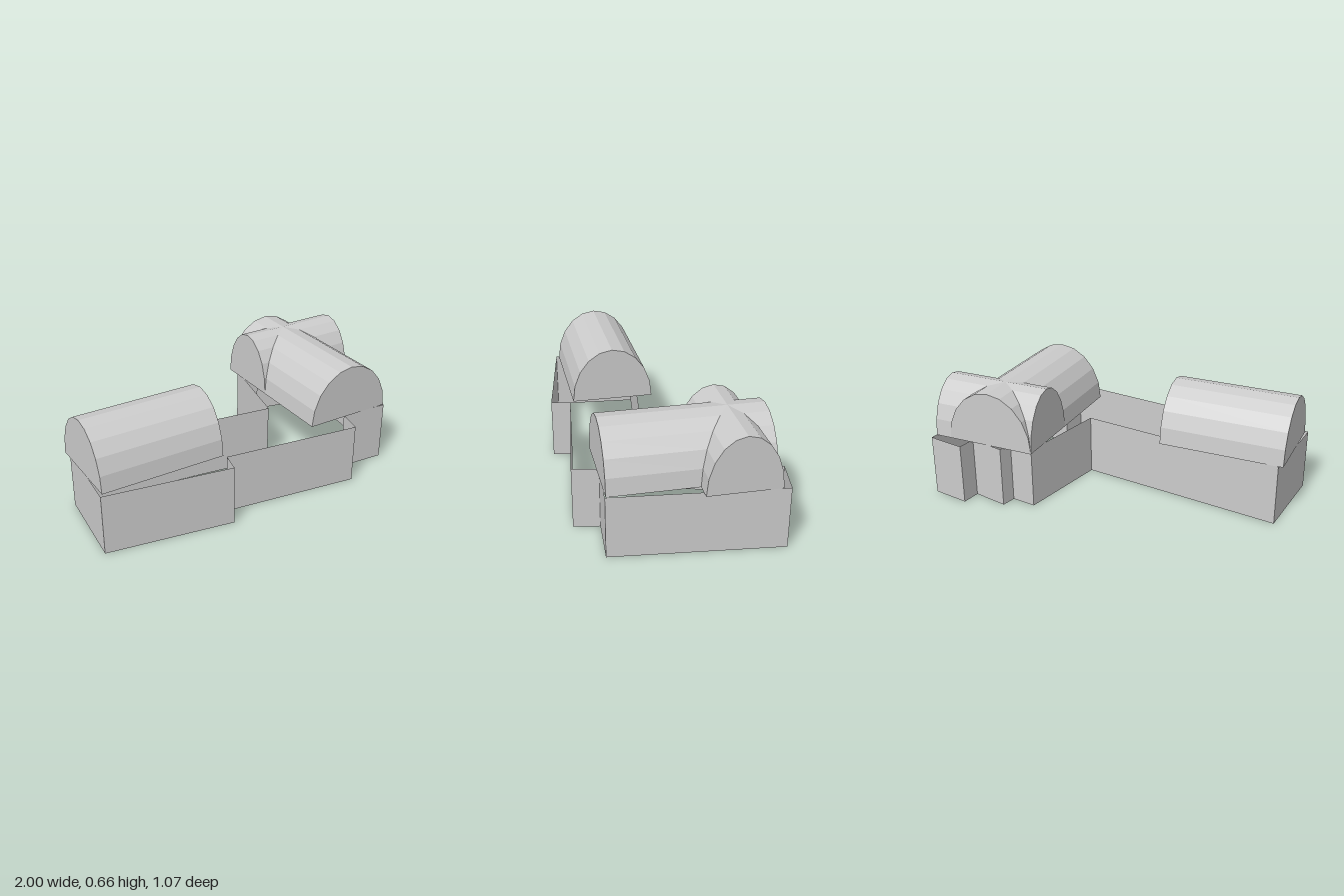
import * as THREE from 'three';

const WALL_H = 0.35, RISE = 0.31, SEGS = 10, ROOF_TURN = -0.077;

const material = new THREE.MeshStandardMaterial({
  color: 0xcccccc, flatShading: true, side: THREE.DoubleSide,
});

function meshFromTriangles(name, points) {
  const geo = new THREE.BufferGeometry().setFromPoints(points);
  geo.computeVertexNormals();
  const mesh = new THREE.Mesh(geo, material);
  mesh.name = name;
  return mesh;
}

const quad = (a, b, c, d) => [a, b, c, a, c, d];

// Open ring of outer walls, walked round the footprint as [x, z]
function makeWalls() {
  const plan = [
    [-1, 0.31], [-0.3, 0.48], [-0.27, 0.37], [0.51, 0.535], [0.55, 0.395], [0.83, 0.435],
    [1, -0.48], [0.79, -0.533], [0.765, -0.43], [0.565, -0.49], [0.54, -0.41], [0.4, -0.44],
    [0.25, 0.07], [-0.92, -0.18],
  ];
  const tris = plan.flatMap(([x0, z0], i) => {
    const [x1, z1] = plan[(i + 1) % plan.length];
    return quad(
      new THREE.Vector3(x0, 0, z0), new THREE.Vector3(x1, 0, z1),
      new THREE.Vector3(x1, WALL_H, z1), new THREE.Vector3(x0, WALL_H, z0));
  });
  return meshFromTriangles('walls', tris);
}

// Half-barrel along local z from start(|cos t|) to end, closed at the far end
function makeVault(name, halfWidth, start, end, closeStart = false) {
  const at = (i, far) => {
    const t = (i / SEGS) * Math.PI, c = Math.cos(t);
    return new THREE.Vector3(halfWidth * c, WALL_H + RISE * Math.sin(t), far ? end : start(Math.abs(c)));
  };
  const tris = [];
  for (let i = 0; i < SEGS; i++) {
    tris.push(...quad(at(i, false), at(i + 1, false), at(i + 1, true), at(i, true)));
    tris.push(new THREE.Vector3(0, WALL_H, end), at(i, true), at(i + 1, true));
    if (closeStart) tris.push(new THREE.Vector3(0, WALL_H, start(0)), at(i + 1, false), at(i, false));
  }
  return meshFromTriangles(name, tris);
}

export function createModel() {
  const model = new THREE.Group();
  model.name = 'vaultedBuilding';
  model.add(makeWalls());

  // Single barrel roof over the west wing
  const westRoof = makeVault('westRoof', 0.238, () => -0.353, 0.353, true);
  westRoof.position.set(-0.6125, 0, 0.085);
  westRoof.rotation.y = ROOF_TURN + Math.PI / 2;
  model.add(westRoof);

  // Two crossing barrels over the east wing: four arms meeting at diagonal groins
  const crossRoof = new THREE.Group();
  crossRoof.name = 'crossRoof';
  crossRoof.position.set(0.622, 0, -0.268);
  crossRoof.rotation.y = ROOF_TURN;
  const mainHalf = 0.26, sideHalf = 0.2;
  const arms = [
    ['southArm', 0, mainHalf, sideHalf, 0.68],
    ['eastArm', 1, sideHalf, mainHalf, 0.354],
    ['northArm', 2, mainHalf, sideHalf, sideHalf],
    ['westArm', 3, sideHalf, mainHalf, mainHalf],
  ];
  for (const [name, turn, halfWidth, groin, end] of arms) {
    const arm = makeVault(name, halfWidth, (c) => groin * c, end);
    arm.rotation.y = turn * Math.PI / 2;
    crossRoof.add(arm);
  }
  model.add(crossRoof);
  return model;
}
